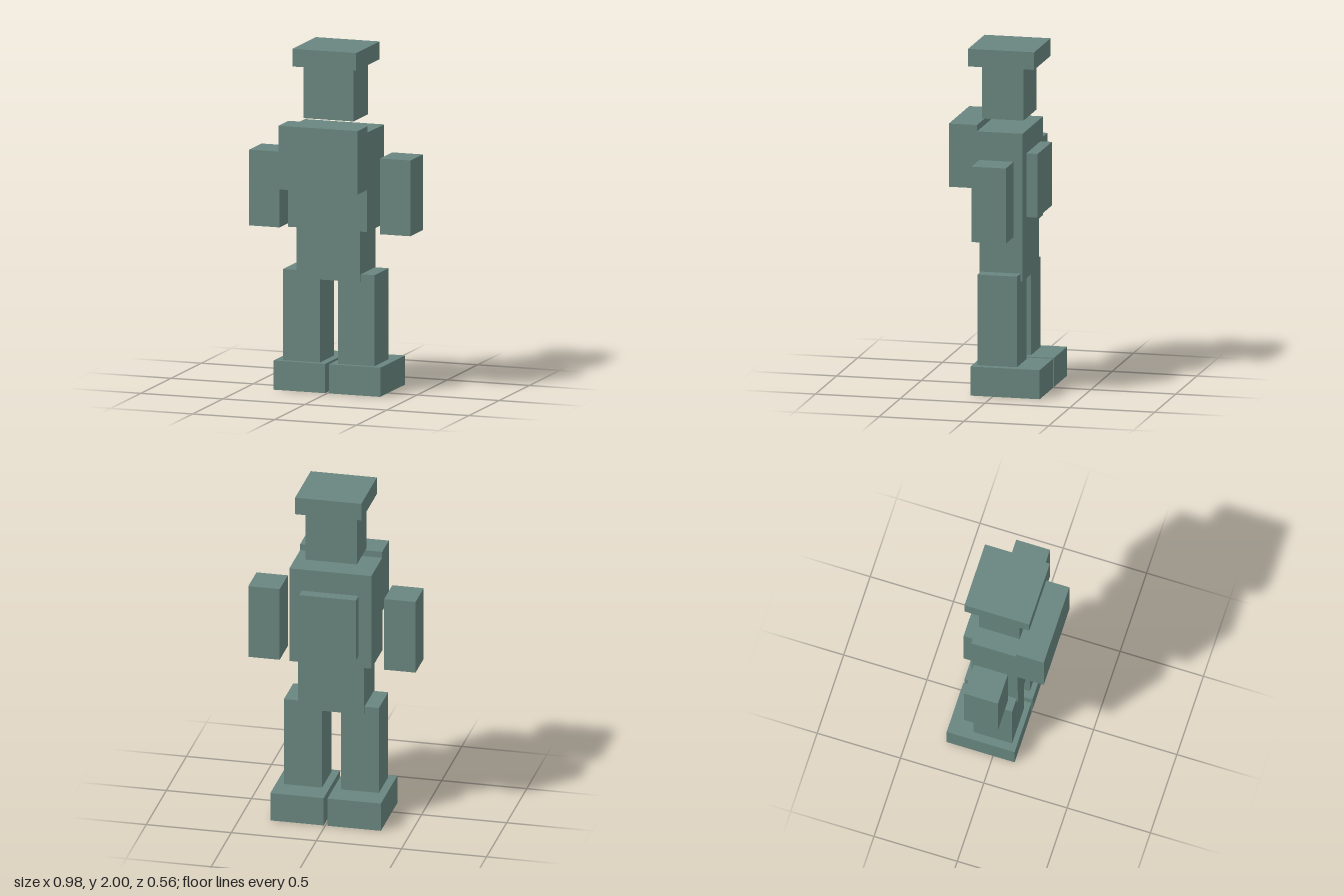
import * as THREE from 'three';

export function createModel() {
  const model = new THREE.Group();
  model.name = 'blockFigure';
  const greyGreen = new THREE.MeshStandardMaterial({ color: 0x69867f });
  greyGreen.name = 'greyGreen';

  // Box given by its lower and upper limits on each axis
  function block(name, [x0, x1], [y0, y1], [z0, z1]) {
    const mesh = new THREE.Mesh(new THREE.BoxGeometry(x1 - x0, y1 - y0, z1 - z0), greyGreen);
    mesh.position.set((x0 + x1) / 2, (y0 + y1) / 2, (z0 + z1) / 2);
    mesh.name = name;
    model.add(mesh);
  }

  // Head and flat cap
  block('cap', [-0.196, 0.193], [1.897, 2], [-0.213, 0.176]);
  block('head', [-0.153, 0.15], [1.587, 1.897], [-0.14, 0.105]);

  // Body with chest block and back plate
  block('torso', [-0.242, 0.24], [0.952, 1.53], [-0.157, 0.12]);
  block('chest', [-0.242, 0.24], [1.197, 1.567], [0.112, 0.278]);
  block('backpack', [-0.168, 0.166], [1.027, 1.4], [-0.227, -0.16]);
  block('pelvis', [-0.196, 0.193], [0.655, 0.952], [-0.145, 0.11]);

  // Arms, legs and feet, mirrored about the slightly offset body axis
  const axis = -0.0015;
  for (const [side, s] of [['left', 1], ['right', -1]]) {
    const span = (inner, outer) => [axis + s * inner, axis + s * outer].sort((a, b) => a - b);
    block(side + 'Arm', span(0.307, 0.4915), [0.937, 1.378], [-0.12, 0.083]);
    block(side + 'Leg', span(0.055, 0.279), [0.17, 0.7], [-0.133, 0.1]);
    block(side + 'Foot', span(0.011, 0.325), [0, 0.17], [-0.278, 0.13]);
  }
  return model;
}
